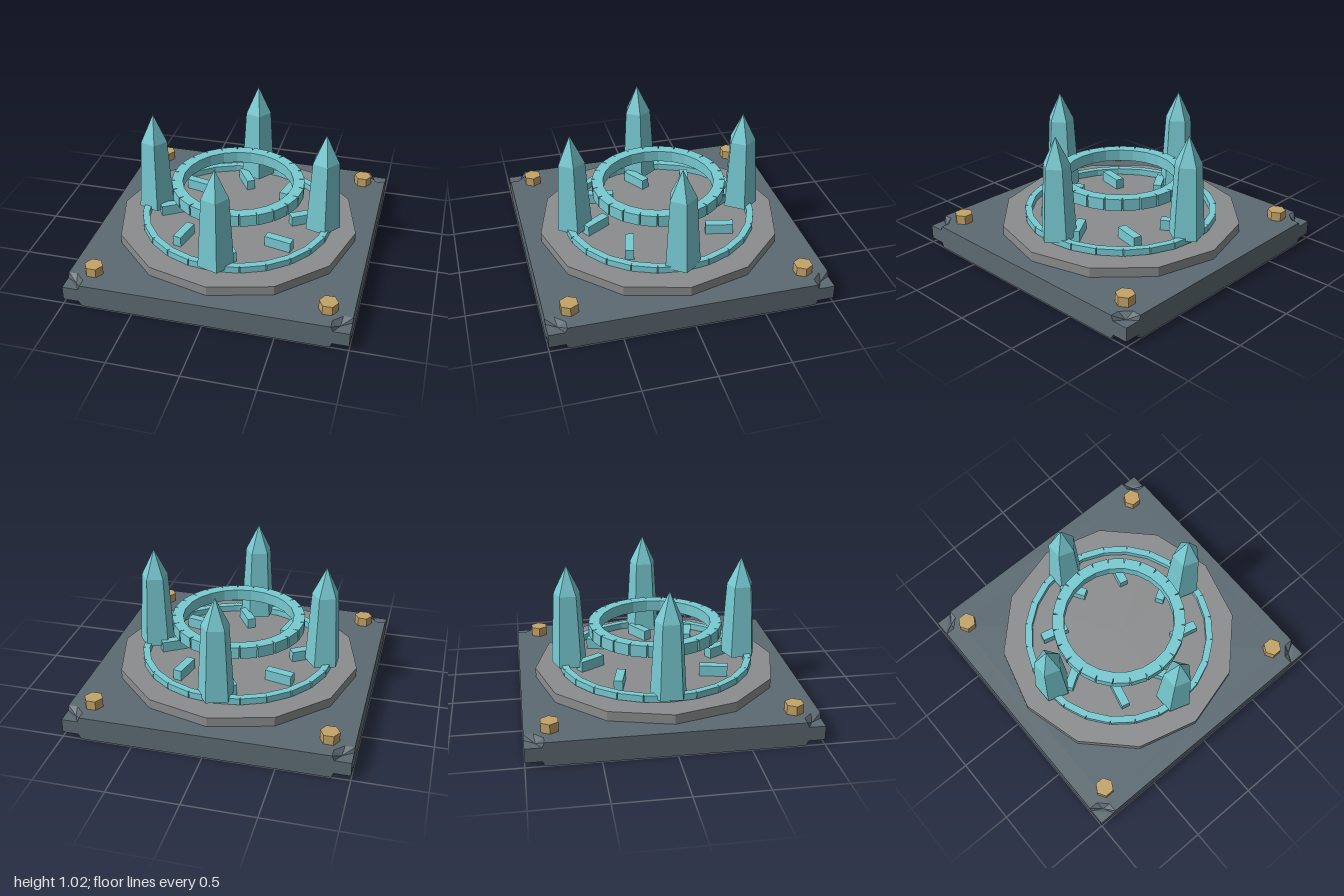
import * as THREE from 'three';

const mat = (color) => new THREE.MeshStandardMaterial({ color, flatShading: true });

export function createModel() {
  const model = new THREE.Group();
  const slate = mat(0x5d6a72), stone = mat(0x8b8d8e), brass = mat(0xc4a368), crystal = mat(0x78cbd3);

  const add = (parent, name, geometry, material, x = 0, y = 0, z = 0, ry = 0) => {
    const mesh = new THREE.Mesh(geometry, material);
    mesh.name = name;
    mesh.position.set(x, y, z);
    mesh.rotation.y = ry;
    parent.add(mesh);
    return mesh;
  };

  // Square slab, with its four corners left open
  const H = 0.172, N = 0.13, inner = 1 - N;
  const outline = [];
  for (let k = 0; k < 4; k++) {
    for (const [x, y] of [[1, -inner], [1, inner], [inner, inner]]) {
      outline.push(new THREE.Vector2(x, y).rotateAround(new THREE.Vector2(), k * Math.PI / 2));
    }
  }
  const slab = new THREE.ExtrudeGeometry(new THREE.Shape(outline), { depth: H, bevelEnabled: false });
  slab.rotateX(-Math.PI / 2);
  add(model, 'baseSlab', slab, slate);

  // Chipped corner blocks: dented towards the outer corner, above and below
  const corner = new THREE.BoxGeometry(N, H, N, 2, 1, 2);
  const pos = corner.attributes.position;
  for (let i = 0; i < pos.count; i++) {
    const u = Math.round(pos.getX(i) / N * 2) + 1, w = Math.round(pos.getZ(i) / N * 2) + 1;
    const top = pos.getY(i) > 0;
    const pit = u === 1 && w === 1;
    const dent = u === 0 || w === 0 ? 0 : pit ? 0.042 : 0.035;
    const steps = [0, pit ? 0.055 : u + w === 3 ? 0.015 : N / 2, N];
    pos.setXYZ(i, inner + steps[u], top ? H - dent : dent, inner + steps[w]);
  }
  for (let k = 0; k < 4; k++) add(model, 'chippedCorner', corner, slate, 0, 0, 0, k * Math.PI / 2);

  // Twelve-sided dais
  add(model, 'dais', new THREE.CylinderGeometry(0.885, 0.885, 0.07, 12), stone, 0, 0.207, 0);

  // Hexagonal studs
  const stud = new THREE.CylinderGeometry(0.067, 0.067, 0.068, 6);
  for (const x of [-1, 1]) for (const z of [-1, 1]) {
    add(model, 'cornerStud', stud, brass, x * 0.827, 0.206, z * 0.827, Math.PI / 2);
  }

  // Rings made of straight blocks, with small gaps on the outside
  const ring = (name, radius, depth, y0, y1) => {
    const group = new THREE.Group();
    group.name = name;
    const block = new THREE.BoxGeometry(depth, y1 - y0, 2 * radius * Math.tan(Math.PI / 24));
    for (let k = 0; k < 24; k++) {
      const a = (k + 0.5) * Math.PI / 12;
      add(group, 'ringBlock', block, crystal, radius * Math.cos(a), (y0 + y1) / 2, -radius * Math.sin(a), a);
    }
    model.add(group);
  };
  ring('lowerRing', 0.68, 0.05, 0.248, 0.296);
  ring('floatingRing', 0.4425, 0.082, 0.479, 0.565);

  // Slanted rune blocks on the dais
  const rune = new THREE.BoxGeometry(0.2, 0.078, 0.063);
  for (let k = 0; k < 8; k++) {
    const a = THREE.MathUtils.degToRad(5.8 + 45 * k);
    add(model, 'runeBlock', rune, crystal, 0.487 * Math.cos(a), 0.281, -0.487 * Math.sin(a),
      a + THREE.MathUtils.degToRad(26));
  }

  // Four five-sided crystal spires
  const shaft = new THREE.CylinderGeometry(0.1, 0.133, 0.537, 5);
  const tip = new THREE.ConeGeometry(0.1, 0.21, 5);
  for (const [x, z] of [[1, 0], [-1, 0], [0, 1], [0, -1]]) {
    const spire = new THREE.Group();
    spire.name = 'crystalSpire';
    add(spire, 'spireShaft', shaft, crystal, 0, 0.5415, 0);
    add(spire, 'spireTip', tip, crystal, 0, 0.915, 0);
    spire.position.set(x * 0.635, 0, z * 0.635);
    spire.rotation.y = Math.PI / 2;
    model.add(spire);
  }
  return model;
}
